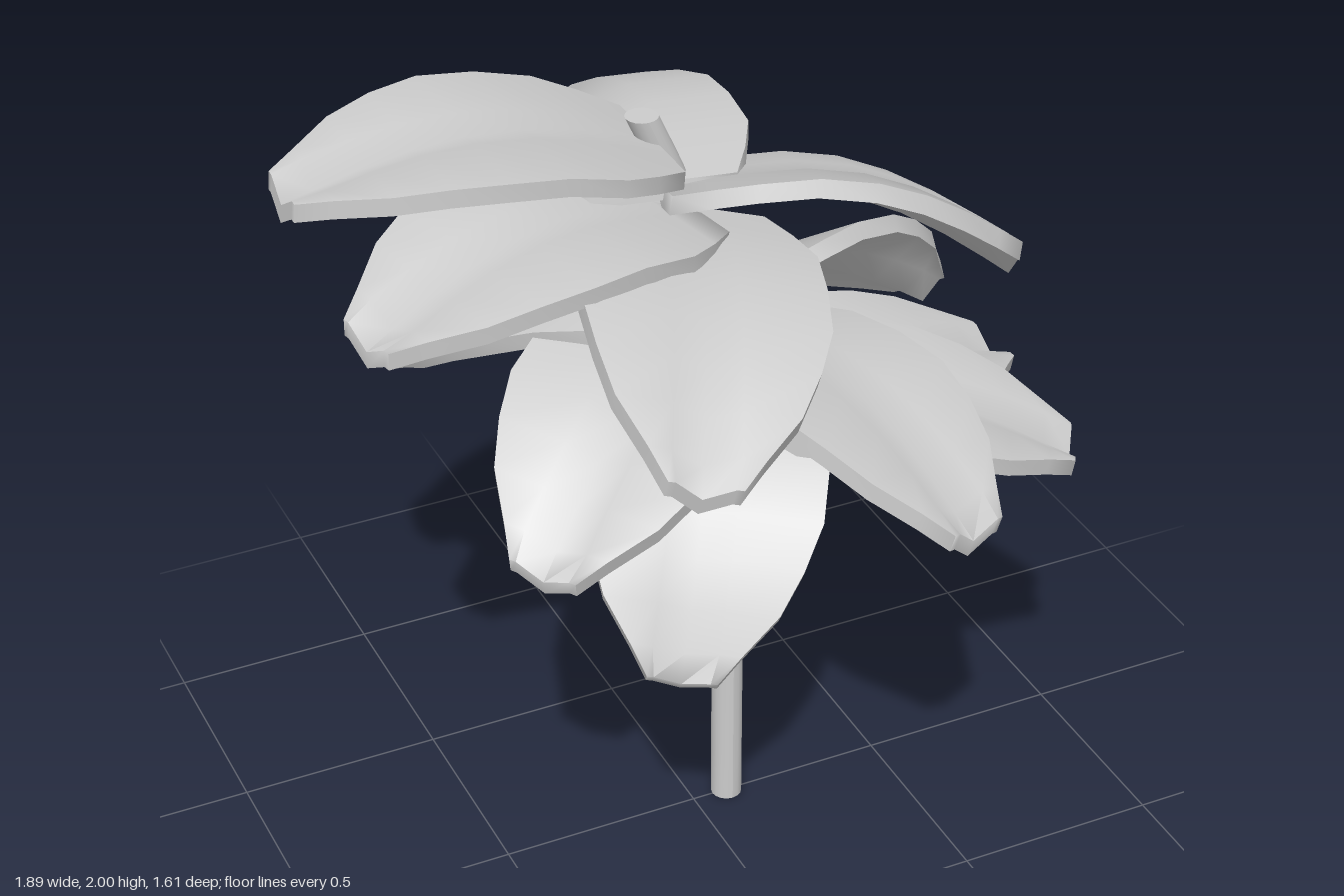
import * as THREE from 'three';
import { toCreasedNormals } from 'three/addons/utils/BufferGeometryUtils.js';

const V = (x, y, z) => new THREE.Vector3(x, y, z);
const material = new THREE.MeshStandardMaterial({ color: 0xcccccc, side: THREE.DoubleSide });

// Leaf outline: [position along the leaf, half width]
const OUTLINE = [[0, 0.17], [0.1, 0.222], [0.21, 0.265], [0.37, 0.27], [0.53, 0.27],
  [0.67, 0.24], [0.8, 0.198], [0.92, 0.125], [1, 0.08]];
const THICKNESS = 0.042;

// A thick arched leaf from base to tip, with a groove that deepens to the tip.
// A positive roll raises the edge on the leaf's right, seen from the stem.
function leafGeometry(base, tip, rollDegrees, arch) {
  const chord = tip.clone().sub(base);
  const dir = chord.clone().normalize();
  const side = V(-dir.z, 0, dir.x).normalize();
  side.applyAxisAngle(dir, -THREE.MathUtils.degToRad(rollDegrees));
  const up = side.clone().cross(dir);

  const positions = [], index = [];
  const n = 10;
  for (const [t, w] of OUTLINE) {
    const g = Math.min(0.075, w * 0.8);
    const across = [-w, -g, 0, g, w];
    const lift = arch * Math.sin(Math.PI * t);
    for (let k = 0; k < n; k++) {
      const j = k < 5 ? k : 9 - k;
      const h = lift - (j === 2 ? 0.04 * t : 0) - (k < 5 ? 0 : THICKNESS);
      const p = base.clone().addScaledVector(chord, t)
        .addScaledVector(side, across[j]).addScaledVector(up, h);
      positions.push(p.x, p.y, p.z);
    }
  }
  const quad = (a, b, c, d) => index.push(a, b, c, a, c, d);
  const last = (OUTLINE.length - 1) * n;
  for (let r = 0; r < last; r += n)
    for (let k = 0; k < n; k++) {
      const k2 = (k + 1) % n;
      quad(r + k, r + k2, r + n + k2, r + n + k);
    }
  // Close the blunt base and the tip
  for (let j = 0; j < 4; j++) {
    quad(j, 9 - j, 8 - j, j + 1);
    quad(last + j, last + j + 1, last + 8 - j, last + 9 - j);
  }
  const geometry = new THREE.BufferGeometry();
  geometry.setAttribute('position', new THREE.Float32BufferAttribute(positions, 3));
  geometry.setIndex(index);
  return toCreasedNormals(geometry, THREE.MathUtils.degToRad(70));
}

// Leaves from top to bottom: [base, tip, roll in degrees, arch]
const LEAVES = [
  [[-0.10, 1.88, 0], [-0.945, 1.955, 0], 0, 0.083],
  [[-0.09, 1.79, 0.04], [-0.02, 1.62, -0.79], -3, 0.1],
  [[-0.08, 1.76, 0.01], [0.65, 1.605, 0.30], 22, 0.1],
  [[-0.03, 1.71, -0.01], [-0.85, 1.68, 0.2], 4, 0.1],
  [[-0.01, 1.69, 0], [-0.34, 1.51, 0.78], 12, 0.1],
  [[0.01, 1.54, 0], [-0.55, 1.23, -0.49], 10, 0.11],
  [[0.00, 1.45, 0], [0.73, 1.20, -0.28], 33, 0.1],
  [[0.04, 1.45, 0], [-0.58, 1.17, 0.47], 8, 0.1],
  [[0.05, 1.39, 0], [0.31, 1.22, 0.78], 10, 0.1],
  [[0.07, 1.31, 0], [-0.26, 0.79, 0.49], 9, 0.11],
  [[0.07, 1.20, 0], [0.80, 1.06, 0.37], 0, 0.08],
  [[0.06, 1.15, 0], [0.02, 0.925, -0.79], 8, 0.085],
  [[0.09, 1.07, -0.03], [0.92, 0.99, -0.21], -8, 0.08],
];

export function createModel() {
  const group = new THREE.Group();
  group.name = 'plant';

  // Stem: straight below, leaning gently at the top, with level ends
  const stemHeight = 1.94;
  const stemCurve = new THREE.CatmullRomCurve3([V(0.09, 0, 0), V(0.09, 0.5, 0), V(0.09, 0.98, 0),
    V(0.07, 1.18, 0), V(0.0, 1.55, 0), V(-0.05, 1.76, 0), V(-0.125, stemHeight, 0)]);
  const stemGeometry = new THREE.CylinderGeometry(0.038, 0.038, 1, 16, 24);
  const pos = stemGeometry.attributes.position;
  for (let i = 0; i < pos.count; i++) {
    const p = stemCurve.getPoint(THREE.MathUtils.clamp(pos.getY(i) + 0.5, 0, 1));
    pos.setXYZ(i, pos.getX(i) + p.x, p.y, pos.getZ(i) + p.z);
  }
  stemGeometry.computeVertexNormals();
  const stem = new THREE.Mesh(stemGeometry, material);
  stem.name = 'stem';
  group.add(stem);

  LEAVES.forEach(([base, tip, roll, arch], i) => {
    const leaf = new THREE.Mesh(leafGeometry(V(...base), V(...tip), roll, arch), material);
    leaf.name = `leaf${i + 1}`;
    group.add(leaf);
  });
  return group;
}
